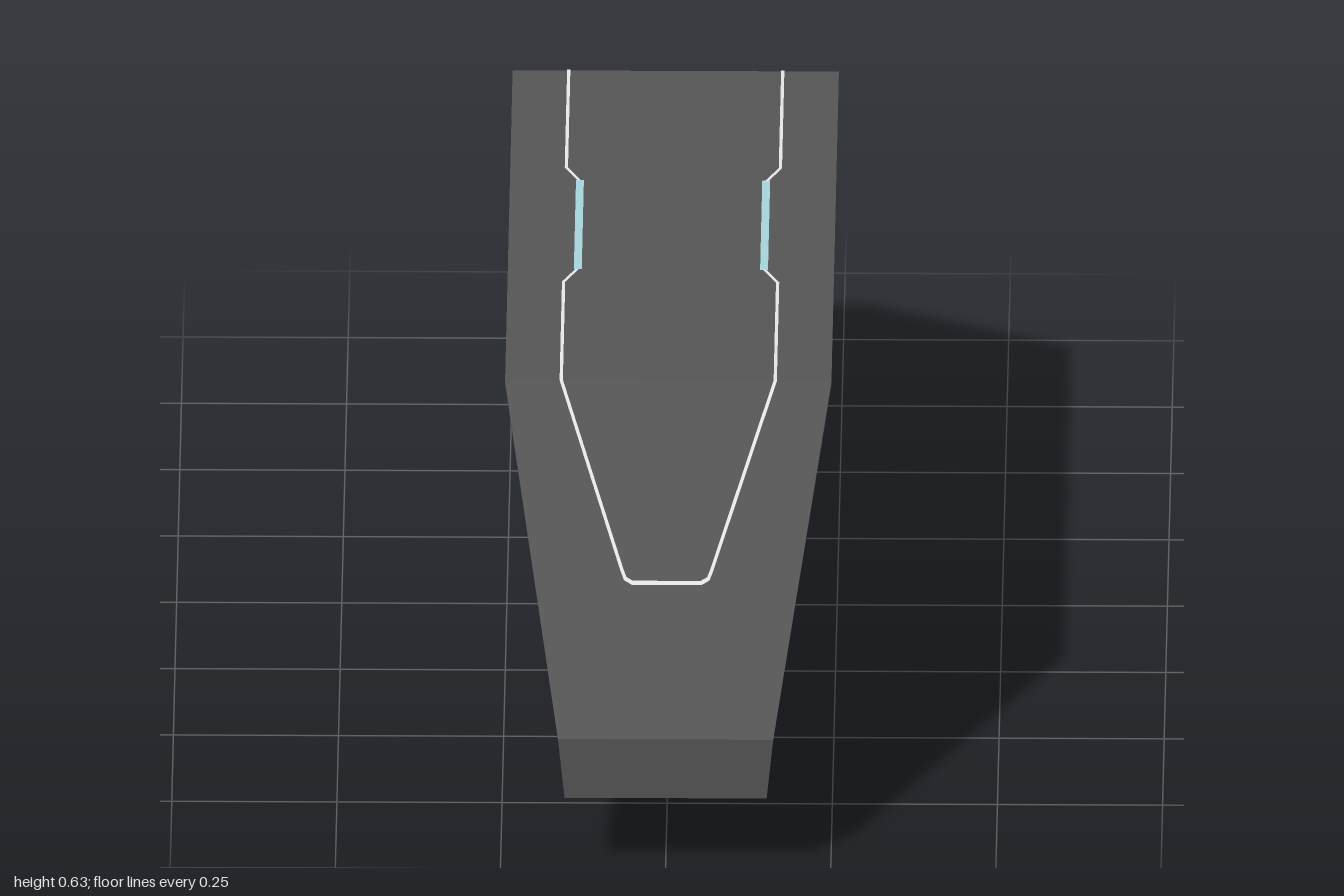
import * as THREE from 'three';

const THICK = 0.008;
const sheetMat = new THREE.MeshStandardMaterial({ color: 0x555555, flatShading: true, side: THREE.DoubleSide });
const lineMat = new THREE.MeshStandardMaterial({ color: 0xe4e8e8, flatShading: true, side: THREE.DoubleSide });
const glowMat = new THREE.MeshStandardMaterial({ color: 0xa6d4dc, flatShading: true, side: THREE.DoubleSide });
sheetMat.name = 'darkGrey';
lineMat.name = 'paleLine';
glowMat.name = 'paleCyan';

// Outer profile of one half: [z, y, half width], from foot to crown
const PROFILE = [
  [0.445, 0.03, 0.130], [0.445, 0.118, 0.153], [1.0, 0.118, 0.153],
  [1.0, 0.215, 0.163], [0.585, 0.625, 0.247], [0, 0.625, 0.247],
];

// Mesh from a list of four-cornered faces
function quadMesh(name, quads, material) {
  const pos = [];
  for (const [a, b, c, d] of quads) pos.push(...a, ...b, ...c, ...a, ...c, ...d);
  const g = new THREE.BufferGeometry();
  g.setAttribute('position', new THREE.Float32BufferAttribute(pos, 3));
  g.computeVertexNormals();
  const mesh = new THREE.Mesh(g, material);
  mesh.name = name;
  return mesh;
}

// Shift a [z, y] path along its mitred normals; positive is outward
function offsetPath(path, d) {
  const normal = (i) => {
    const a = path[i], b = path[i + 1];
    const l = Math.hypot(b[0] - a[0], b[1] - a[1]);
    return [(b[1] - a[1]) / l, -(b[0] - a[0]) / l];
  };
  return path.map((p, i) => {
    const n = normal(Math.max(0, i - 1));
    const m = normal(Math.min(path.length - 2, i));
    const k = d / (1 + n[0] * m[0] + n[1] * m[1]);
    return [p[0] + (n[0] + m[0]) * k, p[1] + (n[1] + m[1]) * k, p[2]];
  });
}

// Bent band following a path between two offsets
function band(name, path, outer, inner, material) {
  const o = offsetPath(path, outer), n = offsetPath(path, inner);
  const at = (p, s) => [s * p[2], p[1], p[0]];
  const quads = [];
  for (let i = 0; i < path.length - 1; i++) {
    const j = i + 1;
    quads.push([at(o[i], -1), at(o[i], 1), at(o[j], 1), at(o[j], -1)]);
    quads.push([at(n[i], 1), at(n[i], -1), at(n[j], -1), at(n[j], 1)]);
    for (const s of [-1, 1]) quads.push([at(o[i], s), at(n[i], s), at(n[j], s), at(o[j], s)]);
  }
  return quadMesh(name, quads, material);
}

// Thin line laid on the crown and slope, path given as [x, z]
function surfaceLine(name, path, half, material) {
  const lift = (p) => {
    const y = p[1] < 0.585 ? 0.625 : 0.625 - (p[1] - 0.585) * (0.41 / 0.415);
    return [p[0], y + 0.002, p[1]];
  };
  const a = offsetPath(path, half).map(lift), b = offsetPath(path, -half).map(lift);
  const quads = [];
  for (let i = 0; i < path.length - 1; i++) quads.push([a[i], a[i + 1], b[i + 1], b[i]]);
  return quadMesh(name, quads, material);
}

// Foot edge with a pressed-out trapezoid catch
function footCatch() {
  const quads = [];
  for (const z of [0.445, 0.445 - THICK]) {
    const rim = [[-0.078, 0, z], [-0.045, 0.028, z], [0.045, 0.028, z], [0.078, 0, z]];
    const face = [[-0.07, 0, z + 0.01], [-0.04, 0.022, z + 0.01], [0.04, 0.022, z + 0.01], [0.07, 0, z + 0.01]];
    quads.push(face);
    for (let i = 0; i < 3; i++) quads.push([rim[i], rim[i + 1], face[i + 1], face[i]]);
    quads.push([[-0.122, 0, z], rim[0], rim[1], [-0.13, 0.03, z]]);
    quads.push([rim[3], [0.122, 0, z], [0.13, 0.03, z], rim[2]]);
    quads.push([rim[1], rim[2], [0.13, 0.03, z], [-0.13, 0.03, z]]);
  }
  // Close the outer edges of the foot
  const zo = 0.445, zi = 0.445 - THICK;
  for (const s of [-1, 1]) {
    quads.push([[s * 0.122, 0, zo], [s * 0.122, 0, zi], [s * 0.13, 0.03, zi], [s * 0.13, 0.03, zo]]);
    quads.push([[s * 0.122, 0, zo], [s * 0.078, 0, zo], [s * 0.078, 0, zi], [s * 0.122, 0, zi]]);
  }
  quads.push([[-0.07, 0, zo + 0.01], [0.07, 0, zo + 0.01], [0.07, 0, zi + 0.01], [-0.07, 0, zi + 0.01]]);
  return quadMesh('footCatch', quads, sheetMat);
}

function createHalf(name) {
  const half = new THREE.Group();
  half.name = name;
  half.add(band('bentSheet', PROFILE, 0, -THICK, sheetMat), footCatch());

  // Outline running round the panel on crown and slope
  const side = [[0.141, 0.165], [0.162, 0.215], [0.162, 0.585], [0.068, 0.805], [0.063, 0.815], [0.052, 0.82]];
  const outline = [...side, ...side.map(([x, z]) => [-x, z]).reverse()];
  half.add(surfaceLine('panelOutline', outline, 0.0025, lineMat));

  // Wider light strips at the waist of the panel
  for (const s of [-1, 1]) {
    half.add(surfaceLine('waistStrip', [[s * 0.141, 0], [s * 0.141, 0.168]], 0.006, glowMat));
  }

  // Light strip along the inner face
  const inner = offsetPath(PROFILE, -THICK).slice(2).map(([z, y]) => [z, y, 0.005]);
  half.add(band('innerStrip', inner, 0, -0.0015, glowMat));

  // Fine mark on the inner face of the foot
  const mark = new THREE.Mesh(new THREE.BoxGeometry(0.13, 0.003, 0.001), lineMat);
  mark.name = 'footMark';
  mark.position.set(0, 0.092, 0.445 - THICK - 0.0005);
  half.add(mark);
  return half;
}

export function createModel() {
  const model = new THREE.Group();
  model.name = 'bentBand';
  const front = createHalf('frontHalf');
  const back = createHalf('backHalf');
  back.rotation.y = Math.PI;
  model.add(front, back);
  return model;
}
